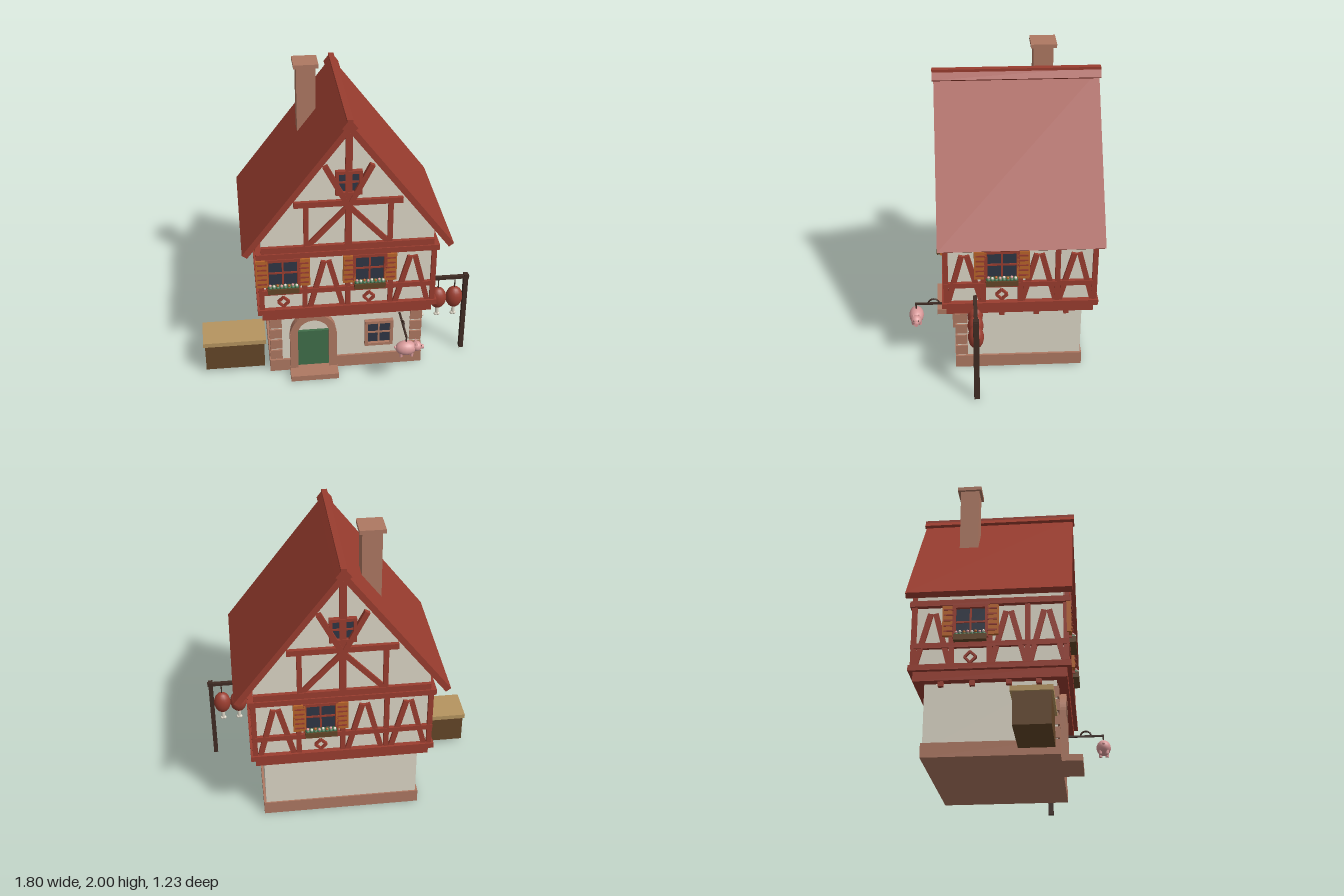
import * as THREE from 'three';

const mat = (name, color) => {
  const m = new THREE.MeshStandardMaterial({ color });
  m.name = name;
  return m;
};

export function createModel() {
  const plaster = mat('plaster', 0xdcd6c6), red = mat('red timber and tile', 0x9a3d2f);
  const stone = mat('stone', 0xae7862), green = mat('green', 0x406e4a);
  const glass = mat('glass', 0x2f3644), dark = mat('dark wood', 0x3f2c24);
  const brown = mat('brown wood', 0x644628), tan = mat('tan wood', 0xb5945f);
  const orange = mat('orange', 0xb8642a), pink = mat('pink', 0xd99a9a);

  const root = new THREE.Group();
  root.name = 'timberHouse';
  const group = (name, parent = root) => {
    const g = new THREE.Group();
    g.name = name;
    parent.add(g);
    return g;
  };
  const add = (parent, name, geo, m, x = 0, y = 0, z = 0) => {
    const mesh = new THREE.Mesh(geo, m);
    mesh.name = name;
    mesh.position.set(x, y, z);
    parent.add(mesh);
    return mesh;
  };
  // Box from minimum and maximum corners
  const box = (p, name, m, x0, x1, y0, y1, z0, z1) =>
    add(p, name, new THREE.BoxGeometry(x1 - x0, y1 - y0, z1 - z0), m, (x0 + x1) / 2, (y0 + y1) / 2, (z0 + z1) / 2);
  // Timber lying in a wall plane between two points
  const beam = (p, name, x0, y0, x1, y1, w, z0, z1, m = red) => {
    const b = add(p, name, new THREE.BoxGeometry(w, Math.hypot(x1 - x0, y1 - y0), z1 - z0), m,
      (x0 + x1) / 2, (y0 + y1) / 2, (z0 + z1) / 2);
    b.rotation.z = Math.atan2(x0 - x1, y1 - y0);
    return b;
  };
  const rod = (p, name, m, x, y0, y1, z, r) =>
    add(p, name, new THREE.CylinderGeometry(r, r, y1 - y0, 8), m, x, (y0 + y1) / 2, z);
  const ball = (p, name, m, x, y, z, rx, ry = rx, rz = rx) => {
    const b = add(p, name, new THREE.SphereGeometry(1, 16, 12), m, x, y, z);
    b.scale.set(rx, ry, rz);
    return b;
  };
  const prism = (p, name, pts, depth, m) => {
    const shape = new THREE.Shape(pts.map(([x, y]) => new THREE.Vector2(x, y)));
    const geo = new THREE.ExtrudeGeometry(shape, { depth, bevelEnabled: false });
    return add(p, name, geo, m, 0, 0, -depth / 2);
  };
  // Glazed window with frame and cross bars
  const windowUnit = (p, x, y, w, h, z, frame, f) => {
    const g = group('window', p);
    g.position.set(x, y, z);
    box(g, 'pane', glass, -w / 2, w / 2, -h / 2, h / 2, 0, 0.008);
    box(g, 'mullion', frame, -0.006, 0.006, -h / 2, h / 2, 0, 0.014);
    box(g, 'transom', frame, -w / 2, w / 2, -0.006, 0.006, 0, 0.014);
    for (const s of [-1, 1]) {
      beam(g, 'frameSide', s * (w + f) / 2, -h / 2 - f, s * (w + f) / 2, h / 2 + f, f, 0, 0.03, frame);
      beam(g, 'frameRail', -w / 2, s * (h + f) / 2, w / 2, s * (h + f) / 2, f, 0, 0.03, frame);
    }
  };

  const house = group('house');
  house.position.set(0.055, 0, -0.095);

  // Ground floor
  box(house, 'plinth', stone, -0.515, 0.515, 0, 0.09, -0.41, 0.415);
  box(house, 'groundWalls', plaster, -0.5, 0.5, 0.05, 0.48, -0.4, 0.4);
  for (const s of [-1, 1]) for (let i = 0; i < 4; i++) {
    const y = 0.1 + i * 0.085;
    box(house, 'cornerStone', stone, s * 0.47 - 0.04, s * 0.47 + 0.04, y, y + 0.07, 0.335, 0.412);
  }

  // Door with stone arch and step
  const door = group('door');
  door.position.set(-0.168, 0, 0.305);
  box(door, 'doorLeaf', green, -0.105, 0.105, 0.04, 0.32, 0, 0.02);
  for (const s of [-1, 1]) box(door, 'jamb', stone, s * 0.13 - 0.026, s * 0.13 + 0.026, 0.04, 0.32, 0, 0.048);
  const arch = new THREE.Shape();
  arch.absarc(0, 0, 0.152, 0, Math.PI, false);
  arch.absarc(0, 0, 0.105, Math.PI, 0, true);
  add(door, 'arch', new THREE.ExtrudeGeometry(arch, { depth: 0.048, bevelEnabled: false, curveSegments: 12 }), stone, 0, 0.32, 0);
  box(door, 'step', stone, -0.16, 0.16, 0, 0.04, 0, 0.14);
  windowUnit(root, 0.275, 0.27, 0.15, 0.16, 0.305, stone, 0.02);

  // Upper floor and gable walls
  prism(house, 'upperWalls', [[-0.55, 0.5], [0.55, 0.5], [0.55, 1.09], [0, 1.81], [-0.55, 1.09]], 0.92, plaster);
  box(house, 'lowerSill', red, -0.556, 0.556, 0.465, 0.53, -0.465, 0.465);
  box(house, 'floorRail', red, -0.585, 0.585, 0.525, 0.562, -0.492, 0.492);
  box(house, 'topRail', red, -0.585, 0.585, 0.95, 0.988, -0.492, 0.492);
  for (const s of [-1, 1]) for (const z of [0.295, 0.115, -0.105, -0.295])
    box(house, 'joistEnd', red, s * 0.53 - 0.015, s * 0.53 + 0.015, 0.435, 0.47, z - 0.016, z + 0.016);

  // Window bay: shutters, flower box, diamond
  const windowBay = (p, u) => {
    windowUnit(p, u, 0.84, 0.18, 0.18, 0.008, red, 0.02);
    for (const s of [-1, 1]) {
      const c = u + s * 0.133;
      box(p, 'shutter', orange, c - 0.039, c + 0.039, 0.745, 0.945, 0.01, 0.038);
      for (let i = 0; i < 5; i++)
        box(p, 'shutterSlat', red, c - 0.03, c + 0.03, 0.768 + i * 0.036, 0.778 + i * 0.036, 0.03, 0.043);
    }
    box(p, 'flowerBox', brown, u - 0.1, u + 0.1, 0.705, 0.742, 0.01, 0.062);
    for (let i = 0; i < 8; i++) {
      const x = u - 0.084 + i * 0.024;
      ball(p, 'foliage', green, x, 0.745, 0.036, 0.017, 0.014, 0.022);
      ball(p, 'flower', [pink, plaster, orange][i % 3], x, 0.762, 0.044 + (i % 2) * 0.008, 0.009);
    }
    const d = 0.036;
    [[1, 1], [1, -1], [-1, 1], [-1, -1]].forEach(([a, b]) =>
      beam(p, 'diamond', u + a * d, 0.61, u, 0.61 + b * d, 0.013, 0, 0.02));
  };
  // Bay with an A-shaped brace
  const braceBay = (p, u) => {
    for (const s of [-1, 1]) beam(p, 'brace', u + s * 0.105, 0.56, u + s * 0.016, 0.905, 0.034, 0, 0.019);
  };
  const facade = (name, angle, half, dist, bays) => {
    const turn = group(name, house), g = group('framing', turn);
    turn.rotation.y = angle;
    g.position.z = dist;
    const pitch = (2 * half - 0.03) / 4;
    for (let i = 0; i <= 4; i++) {
      const u = -half + 0.015 + i * pitch;
      box(g, 'post', red, u - 0.016, u + 0.016, 0.55, 0.96, -0.01, 0.021);
    }
    box(g, 'middleRail', red, -half, half, 0.672, 0.706, -0.01, 0.023);
    [...bays].forEach((b, i) => (b === 'W' ? windowBay : braceBay)(g, -half + 0.015 + (i + 0.5) * pitch));
  };
  facade('frontFacade', 0, 0.57, 0.46, 'WAWA');
  facade('backFacade', Math.PI, 0.57, 0.46, 'AWAA');
  facade('leftFacade', Math.PI / 2, 0.48, 0.55, 'AWAA');
  facade('rightFacade', -Math.PI / 2, 0.48, 0.55, 'AWAA');

  // Gable framing, front and back
  for (const a of [0, Math.PI]) {
    const turn = group('gable', house), g = group('gableFraming', turn);
    turn.rotation.y = a;
    g.position.z = 0.46;
    box(g, 'gableSill', red, -0.55, 0.55, 0.97, 1.03, -0.01, 0.024);
    box(g, 'collarBeam', red, -0.34, 0.34, 1.307, 1.345, -0.01, 0.024);
    box(g, 'kingPost', red, -0.021, 0.021, 1.03, 1.8, -0.01, 0.026);
    for (const s of [-1, 1]) {
      box(g, 'queenPost', red, s * 0.265 - 0.016, s * 0.265 + 0.016, 1.03, 1.31, -0.01, 0.02);
      beam(g, 'lowerBrace', s * 0.25, 1.03, 0, 1.3, 0.034, -0.01, 0.018);
      beam(g, 'upperBrace', s * 0.145, 1.585, 0, 1.3, 0.034, -0.01, 0.03);
    }
    windowUnit(g, 0, 1.467, 0.125, 0.125, 0, red, 0.02);
  }

  // Roof, ridge and chimney
  prism(house, 'roof', [[0, 1.88], [-0.67, 1.005], [-0.638, 0.982], [0, 1.817], [0.638, 0.982], [0.67, 1.005]], 1.02, red);
  for (const s of [-1, 1]) beam(house, 'ridgeBoard', 0, 1.893, s * 0.04, 1.842, 0.022, -0.52, 0.52);
  box(house, 'ridgeCap', red, -0.018, 0.018, 1.86, 1.905, -0.52, 0.52);
  box(root, 'chimney', stone, -0.21, -0.087, 1.4, 1.98, -0.335, -0.21);
  box(root, 'chimneyCap', stone, -0.228, -0.068, 1.975, 2, -0.355, -0.193);

  // Wooden chest beside the house
  box(root, 'chestBody', brown, -0.89, -0.495, 0.03, 0.226, 0.075, 0.292);
  box(root, 'chestLid', tan, -0.902, -0.482, 0.224, 0.255, 0.063, 0.305);

  // Rack with hanging hams
  const rack = group('hamRack');
  rack.position.z = 0.19;
  box(rack, 'rackPost', dark, 0.864, 0.893, 0, 0.61, -0.018, 0.018);
  box(rack, 'rackBar', dark, 0.6, 0.9, 0.578, 0.6, -0.012, 0.012);
  for (const x of [0.585, 0.695, 0.807]) {
    rod(rack, 'hamString', dark, x, 0.49, 0.585, 0, 0.004);
    ball(rack, 'ham', red, x, 0.43, 0, 0.058, 0.08, 0.05);
    rod(rack, 'hamBone', plaster, x, 0.295, 0.37, 0, 0.012);
    for (const s of [-1, 1]) ball(rack, 'boneKnob', plaster, x + s * 0.008, 0.296, 0, 0.013);
  }

  // Hanging pig sign on a bracket
  const sign = group('pigSign');
  sign.position.set(0.415, 0, 0.57);
  box(sign, 'signBar', dark, -0.006, 0.006, 0.4, 0.412, -0.27, 0.006);
  const scroll = add(sign, 'signScroll', new THREE.TorusGeometry(0.036, 0.006, 6, 14, Math.PI), dark, 0, 0.405, -0.115);
  scroll.rotation.y = Math.PI / 2;
  rod(sign, 'signString', dark, 0, 0.36, 0.405, 0, 0.004);
  ball(sign, 'pigBody', pink, 0, 0.32, 0, 0.07, 0.05, 0.048);
  ball(sign, 'pigHead', pink, 0.07, 0.328, 0, 0.034);
  add(sign, 'pigSnout', new THREE.CylinderGeometry(0.014, 0.016, 0.03, 12), pink, 0.101, 0.322, 0).rotation.z = -Math.PI / 2;
  ball(sign, 'pigTail', pink, -0.071, 0.33, 0, 0.009);
  for (const s of [-1, 1]) {
    add(sign, 'pigEar', new THREE.ConeGeometry(0.011, 0.026, 8), pink, 0.065, 0.362, s * 0.018);
    ball(sign, 'pigEye', dark, 0.097, 0.339, s * 0.015, 0.004);
    for (const x of [-0.035, 0.035]) rod(sign, 'pigLeg', pink, x, 0.268, 0.3, s * 0.022, 0.011);
  }
  return root;
}
